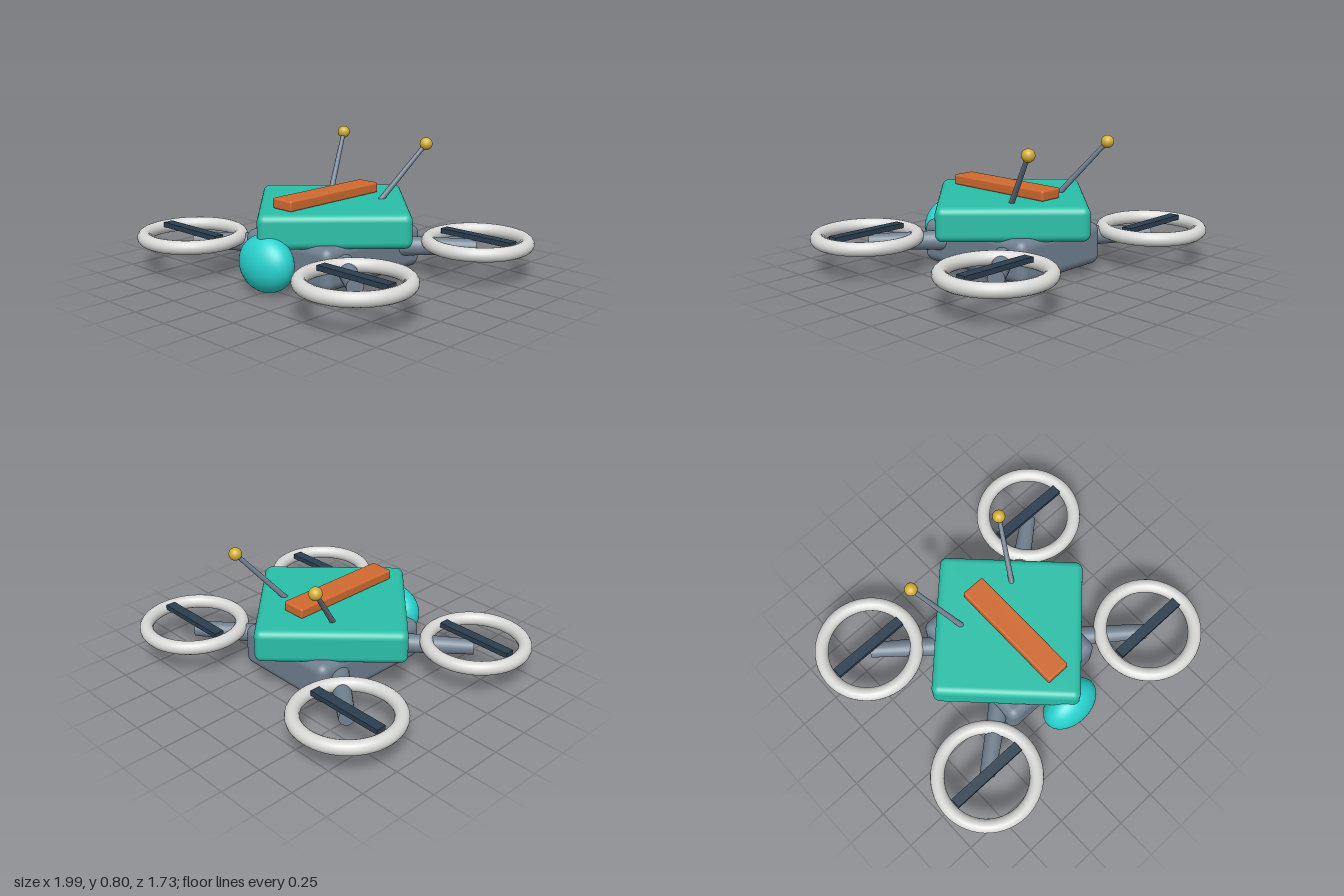
import * as THREE from 'three';
import { RoundedBoxGeometry } from 'three/addons/geometries/RoundedBoxGeometry.js';

function material(name, color) {
  const m = new THREE.MeshStandardMaterial({ color });
  m.name = name;
  return m;
}

export function createModel() {
  const model = new THREE.Group();
  model.name = 'drone';

  const teal = material('teal shell', 0x2abfa8);
  const cyan = material('cyan dome', 0x28d2ce);
  const slate = material('slate grey', 0x708090);
  const pale = material('pale guard', 0xd8d8d6);
  const navy = material('dark blade', 0x2c3e50);
  const orange = material('orange stripe', 0xd06a30);
  const gold = material('gold tip', 0xd4af37);

  function add(name, geometry, mat, x = 0, y = 0, z = 0, parent = model) {
    const mesh = new THREE.Mesh(geometry, mat);
    mesh.name = name;
    mesh.position.set(x, y, z);
    parent.add(mesh);
    return mesh;
  }

  // Straight tapered rod between two points
  function rod(name, from, to, rFrom, rTo, mat, parent) {
    const a = new THREE.Vector3(...from);
    const dir = new THREE.Vector3(...to).sub(a);
    const mid = a.clone().addScaledVector(dir, 0.5);
    const geometry = new THREE.CylinderGeometry(rTo, rFrom, dir.length(), 24);
    const mesh = add(name, geometry, mat, mid.x, mid.y, mid.z, parent);
    mesh.quaternion.setFromUnitVectors(new THREE.Vector3(0, 1, 0), dir.normalize());
    return mesh;
  }

  // Hull: lower body, diamond shell and top stripe
  add('lowerBody', new RoundedBoxGeometry(0.69, 0.255, 0.82, 5, 0.055), slate, 0, 0.152, 0);
  const shell = add('upperShell', new RoundedBoxGeometry(0.864, 0.2, 0.864, 5, 0.043), teal, 0, 0.35, 0);
  shell.rotation.y = Math.PI / 4;
  add('topStripe', new RoundedBoxGeometry(0.15, 0.062, 0.735, 3, 0.012), orange, 0, 0.481, 0.053);

  // Flattened sensor dome on the nose
  const dome = add('sensorDome', new THREE.SphereGeometry(1, 40, 28), cyan, 0, 0.166, 0.54);
  dome.scale.set(0.187, 0.166, 0.125);

  // Four rotors, each with an arm, a guard ring and a blade
  for (const sx of [1, -1]) {
    for (const sz of [1, -1]) {
      const rotor = new THREE.Group();
      rotor.name = (sz > 0 ? 'front' : 'rear') + (sx > 0 ? 'Left' : 'Right') + 'Rotor';
      model.add(rotor);
      rod('arm', [sx * 0.2, 0.17, sz * 0.16], [sx * 0.66, 0.175, sz * 0.528], 0.064, 0.046, slate, rotor);
      const ring = add('guardRing', new THREE.TorusGeometry(0.29, 0.041, 16, 56), pale,
        sx * 0.666, 0.207, sz * 0.533, rotor);
      ring.rotation.x = Math.PI / 2;
      add('blade', new THREE.BoxGeometry(0.495, 0.03, 0.062), navy, sx * 0.666, 0.234, sz * 0.533, rotor);
    }
  }

  // Pair of raked antennas with ball tips
  for (const sx of [1, -1]) {
    const antenna = new THREE.Group();
    antenna.name = sx > 0 ? 'leftAntenna' : 'rightAntenna';
    model.add(antenna);
    rod('antennaRod', [sx * 0.2, 0.435, -0.188], [sx * 0.335, 0.763, -0.446], 0.017, 0.013, slate, antenna);
    add('antennaTip', new THREE.SphereGeometry(0.038, 24, 16), gold, sx * 0.335, 0.763, -0.446, antenna);
  }

  return model;
}
